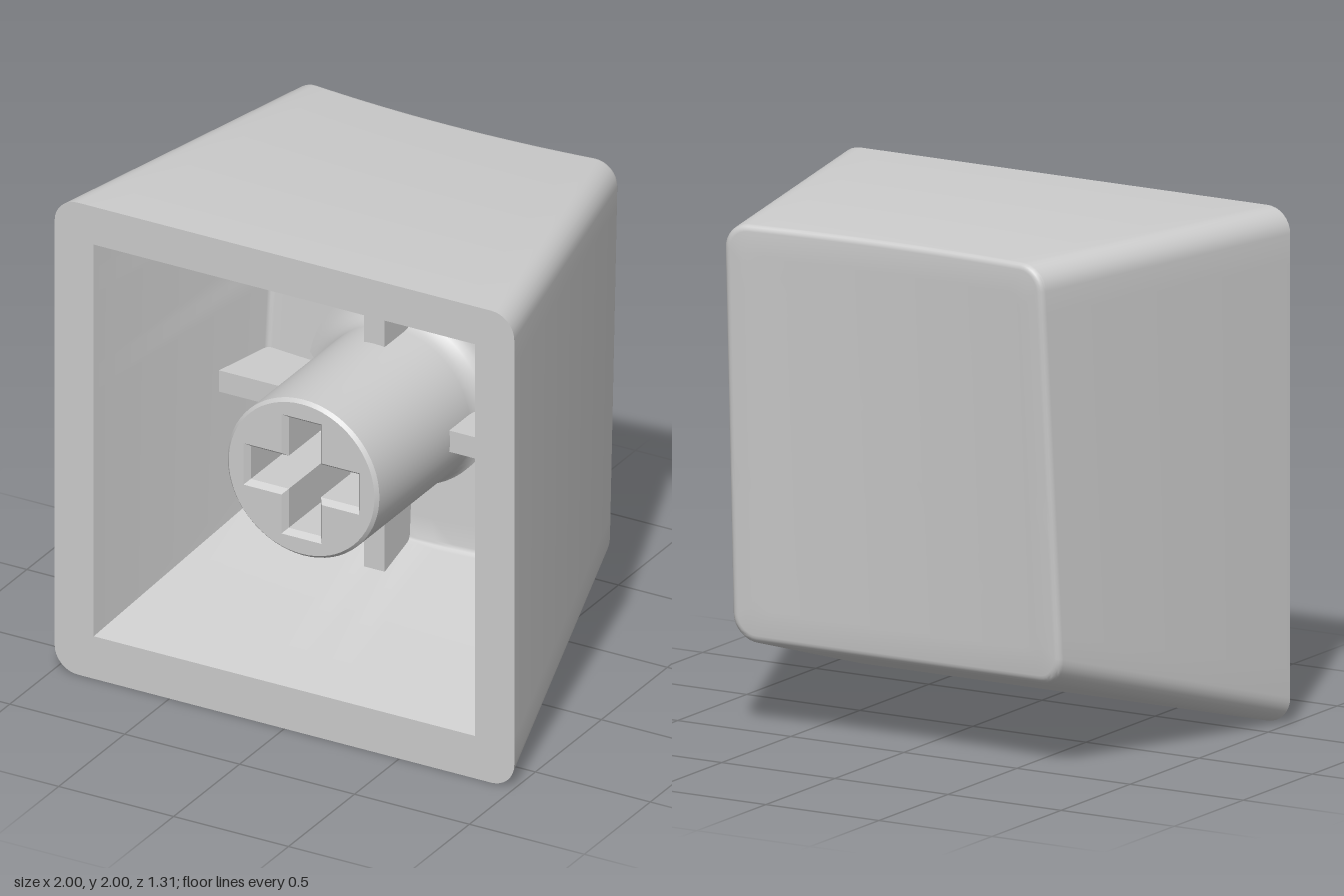
import * as THREE from 'three';
import { toCreasedNormals } from 'three/addons/utils/BufferGeometryUtils.js';

const material = new THREE.MeshStandardMaterial({ color: 0xcccccc });
const FRONT = 0.66;

// Tapered shells: section at the front rim, taper per unit of depth, distance from the dished face
const OUTER = { hx: 1, bot: 0, top: 2, r: 0.1, taperX: 0.2273, taperY: 0.2975, offset: 0, fillet: 0.025 };
const INNER = { hx: 0.83, bot: 0.18, top: 1.84, r: 0, taperX: 0.2273, taperY: 0.285, offset: 0.3, fillet: 0.02 };

// Slightly tilted, cylindrically dished face
const dishZ = (x, y) => -0.66 + 0.066 * (2 - y) + 0.046 * (1 - (x / 0.7) ** 2);

// Counter-clockwise outline: c = place on the straight core, n = direction of the corner rounding
function outline(rounded, side = 16, arc = 8) {
  const corners = [[1, -1], [1, 1], [-1, 1], [-1, -1]];
  const list = [];
  corners.forEach((a, i) => {
    const b = corners[(i + 1) % 4];
    const ang = i * Math.PI / 2;
    for (let k = 0; k < (rounded ? side + 1 : side); k++) {
      const t = k / side;
      list.push({ c: [a[0] + (b[0] - a[0]) * t, a[1] + (b[1] - a[1]) * t], n: [Math.cos(ang), Math.sin(ang)] });
    }
    for (let k = 1; rounded && k < arc; k++) {
      const q = ang + k / arc * Math.PI / 2;
      list.push({ c: b, n: [Math.cos(q), Math.sin(q)] });
    }
  });
  return list;
}

// Point of a shell at depth z, inset from the wall and scaled towards the middle
function shellPoint(s, p, z, inset = 0, scale = 1) {
  const d = FRONT - z, bot = s.bot + s.taperY * d;
  const hx = s.hx - s.taperX * d - inset, hy = (s.top - bot) / 2 - inset;
  const r = Math.max(s.r - inset, 0);
  return new THREE.Vector3(
    scale * (p.c[0] * (hx - r) + p.n[0] * r),
    (s.top + bot) / 2 + scale * (p.c[1] * (hy - r) + p.n[1] * r), z);
}

// Same, with the depth found where the wall meets the dished face
function facePoint(s, p, lift, inset, scale) {
  let z = -0.5, v;
  for (let i = 0; i < 8; i++) {
    v = shellPoint(s, p, z, inset, scale);
    z = dishZ(v.x, v.y) + s.offset + lift;
  }
  return shellPoint(s, p, z, inset, scale);
}

// Skin closed rings that run from front to back
function loft(rings, inward, crease = 0.55) {
  const n = rings[0].length, index = [];
  for (let k = 0; k < rings.length - 1; k++) {
    for (let i = 0; i < n; i++) {
      const a = k * n + i, b = k * n + (i + 1) % n, c = a + n, d = b + n;
      if (inward) index.push(a, b, c, b, d, c);
      else index.push(a, c, b, b, c, d);
    }
  }
  const g = new THREE.BufferGeometry().setFromPoints(rings.flat());
  g.setIndex(index);
  return toCreasedNormals(g.toNonIndexed(), crease);
}

function shell(s, inward) {
  const pts = outline(s.r > 0);
  const rings = [pts.map(p => shellPoint(s, p, FRONT))];
  for (let k = 0; k <= 4; k++) {
    const a = k / 4 * Math.PI / 2;
    rings.push(pts.map(p => facePoint(s, p, s.fillet * (1 - Math.sin(a)), s.fillet * (1 - Math.cos(a)), 1)));
  }
  for (let k = 7; k >= 0; k--) rings.push(pts.map(p => facePoint(s, p, 0, s.fillet, k / 8)));
  return loft(rings, inward);
}

// Cross outline with arm length l and half width w, counter-clockwise
function crossPoints(l, w) {
  const pts = [];
  for (let i = 0; i < 4; i++) {
    const c = Math.round(Math.cos(i * Math.PI / 2)), s = Math.round(Math.sin(i * Math.PI / 2));
    for (const [x, y] of [[l, -w], [l, w], [w, w]]) pts.push(new THREE.Vector2(x * c - y * s, x * s + y * c));
  }
  return pts;
}

export function createModel() {
  const model = new THREE.Group();
  const add = (name, geometry, parent = model) => {
    const mesh = new THREE.Mesh(geometry, material);
    mesh.name = name;
    parent.add(mesh);
    return mesh;
  };

  add('outerShell', shell(OUTER, false));
  add('innerCavity', shell(INNER, true));

  // Flat rim joining the two shells
  const flat = s => outline(s.r > 0).map(p => {
    const v = shellPoint(s, p, FRONT);
    return new THREE.Vector2(v.x, v.y);
  });
  const rim = new THREE.Shape(flat(OUTER));
  rim.holes.push(new THREE.Path(flat(INNER)));
  add('rim', new THREE.ShapeGeometry(rim)).position.z = FRONT;

  // Stem: round post with a flared root and a chamfered end
  const stem = new THREE.Group();
  stem.name = 'stem';
  stem.position.y = 1;
  model.add(stem);
  const END = 0.53;
  const profile = [];
  for (let k = 0; k <= 6; k++) {
    const a = k / 6 * Math.PI / 2;
    profile.push(new THREE.Vector2(0.43 - 0.1 * Math.sin(a), -0.17 - 0.1 * Math.cos(a)));
  }
  profile.push(new THREE.Vector2(0.33, END - 0.015), new THREE.Vector2(0.317, END));
  const post = new THREE.LatheGeometry(profile, 64).rotateX(Math.PI / 2);
  add('stemPost', toCreasedNormals(post.toNonIndexed(), 0.5), stem);

  const face = new THREE.Shape().absarc(0, 0, 0.317, 0, Math.PI * 2);
  face.holes.push(new THREE.Path(crossPoints(0.253, 0.088)));
  add('stemFace', new THREE.ShapeGeometry(face, 32), stem).position.z = END;

  // Cross socket: chamfered mouth, straight walls, small bevel at the floor
  const steps = [[0.253, 0.088, END], [0.235, 0.07, END - 0.025], [0.235, 0.07, 0.04], [0.222, 0.057, 0.02]];
  add('socketWalls', loft(steps.map(([l, w, z]) =>
    crossPoints(l, w).map(p => new THREE.Vector3(p.x, p.y, z))), true, 0.1), stem);
  add('socketFloor', new THREE.ShapeGeometry(new THREE.Shape(crossPoints(0.222, 0.057))), stem).position.z = 0.02;

  // Four ribs bracing the stem against the walls
  const rib = (name, x0, x1, y0, y1) => {
    add(name, new THREE.BoxGeometry(x1 - x0, y1 - y0, 0.38))
      .position.set((x0 + x1) / 2, (y0 + y1) / 2, -0.21);
  };
  rib('leftRib', 0.3, 0.675, 0.955, 1.045);
  rib('rightRib', -0.675, -0.3, 0.955, 1.045);
  rib('upperRib', -0.045, 0.045, 1.3, 1.88);
  rib('lowerRib', -0.045, 0.045, 0.375, 0.7);

  return model;
}
